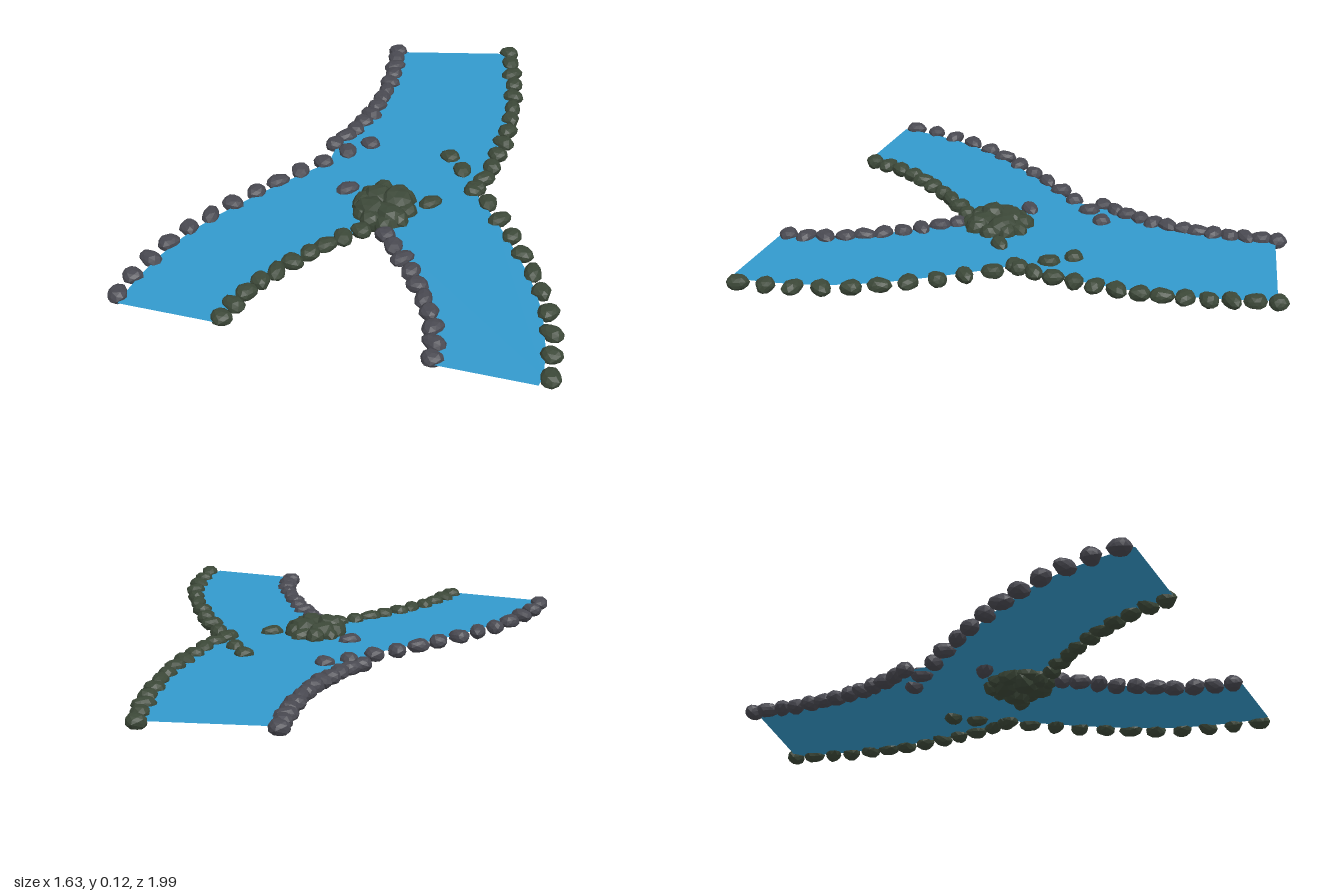
import * as THREE from 'three';

const LEVEL = 0.063;

function material(name, color, side = THREE.FrontSide) {
  const m = new THREE.MeshStandardMaterial({ color, side });
  m.name = name;
  return m;
}

// Faceted boulder of unit radius, with lumps set by a smooth rule
function boulderGeometry(seed) {
  const g = new THREE.IcosahedronGeometry(1, 1);
  const p = g.attributes.position;
  const v = new THREE.Vector3();
  for (let i = 0; i < p.count; i++) {
    v.fromBufferAttribute(p, i);
    const lump = 1 + 0.09 * Math.sin(3.1 * v.x + seed) + 0.08 * Math.sin(3.7 * v.z + 2 * seed)
      + 0.05 * Math.sin(5 * v.y + 3 * v.x + seed);
    v.multiplyScalar(lump);
    v.y = THREE.MathUtils.clamp(v.y, -0.9, 0.9);
    p.setXYZ(i, v.x, v.y, v.z);
  }
  const flat = g.index ? g.toNonIndexed() : g;
  flat.computeVertexNormals();
  return flat;
}

// Smooth bank line through [x, z] pairs
function bankPoints(pairs, count) {
  const curve = new THREE.CatmullRomCurve3(pairs.map(([x, z]) => new THREE.Vector3(x, LEVEL, z)));
  return curve.getSpacedPoints(count - 1);
}

export function createModel() {
  const model = new THREE.Group();
  const water = material('river blue', 0x3399cc, THREE.DoubleSide);
  const grey = material('grey stone', 0x494951);
  const green = material('mossy stone', 0x3c4838);
  const shapes = [0.6, 2.1, 3.9].map(boulderGeometry);

  function addRock(parent, name, mat, pos, size, turn, index) {
    const rock = new THREE.Mesh(shapes[index % shapes.length], mat);
    rock.name = name;
    rock.position.copy(pos);
    rock.scale.set(...size);
    rock.rotation.y = turn;
    parent.add(rock);
  }

  function addBank(name, mat, points) {
    const bank = new THREE.Group();
    bank.name = name;
    points.forEach((p, i) => addRock(bank, name + 'Rock', mat, p, [0.042, 0.029, 0.038], i * 0.35, i));
    model.add(bank);
  }

  // Bank lines: upstream pair, outer branch pair, inner branch pair
  const upperLeft = bankPoints([[-0.24, -0.85], [-0.215, -0.7], [-0.205, -0.55], [-0.22, -0.35],
    [-0.25, -0.24], [-0.3, -0.12]], 13);
  const upperRight = bankPoints([[0.235, -0.96], [0.28, -0.815], [0.32, -0.65], [0.348, -0.43],
    [0.345, -0.2], [0.325, -0.04], [0.305, 0.03]], 13);
  const branch = [[0.31, 0.01], [0.375, 0.09], [0.505, 0.267], [0.622, 0.447], [0.712, 0.635],
    [0.762, 0.835], [0.776, 0.94]];
  const inner = [[0.047, 0.375], [0.168, 0.517], [0.262, 0.655], [0.33, 0.78], [0.367, 0.9], [0.377, 0.955]];
  const mirror = (pairs) => pairs.map(([x, z]) => [-x, z]);
  const outerLeft = bankPoints(mirror(branch), 11);
  const outerRight = bankPoints(branch, 11);
  const innerLeft = bankPoints(mirror(inner), 10);
  const innerRight = bankPoints(inner, 10);

  addBank('upperLeftBank', grey, upperLeft);
  addBank('upperRightBank', green, upperRight);
  addBank('outerLeftBank', grey, outerLeft);
  addBank('outerRightBank', green, outerRight);
  addBank('innerLeftBank', green, innerLeft);
  addBank('innerRightBank', grey, innerRight);

  // Loose rocks where the river divides
  const loose = [[0.165, -0.155], [0.235, -0.08], [0.165, 0.15]];
  addBank('looseLeftRocks', grey, loose.map(([x, z]) => new THREE.Vector3(-x, LEVEL, z)));
  addBank('looseRightRocks', green, loose.map(([x, z]) => new THREE.Vector3(x, LEVEL, z)));

  // Water sheet: one forked outline following the banks
  const outline = [
    [-0.225, -0.845], [0.23, -0.955],
    ...upperRight.slice(1, 12).map((p) => [p.x - 0.01, p.z]),
    ...outerRight.map((p) => [p.x - 0.022, p.z]), [0.745, 0.985],
    [0.385, 0.985], ...[...innerRight].reverse().map((p) => [p.x, p.z]),
    [0, 0.32],
    ...innerLeft.map((p) => [p.x, p.z]), [-0.385, 0.985],
    [-0.755, 0.985], ...[...outerLeft].reverse().map((p) => [p.x + 0.022, p.z]),
    ...[...upperLeft].reverse().slice(0, 12).map((p) => [p.x + 0.01, p.z]),
  ];
  const sheet = new THREE.ShapeGeometry(new THREE.Shape(outline.map(([x, z]) => new THREE.Vector2(x, -z))));
  sheet.rotateX(-Math.PI / 2);
  const river = new THREE.Mesh(sheet, water);
  river.name = 'riverSurface';
  river.position.y = LEVEL;
  model.add(river);

  // Rock island at the fork: two tall boulders ringed by smaller ones
  const island = new THREE.Group();
  island.name = 'rockIsland';
  const big = [[-0.045, 0.26], [0.045, 0.185], [0.03, 0.275], [-0.035, 0.18]];
  big.forEach(([x, z], i) => addRock(island, 'islandBoulder', green,
    new THREE.Vector3(x, LEVEL, z), [0.066, i < 2 ? 0.066 : 0.058, 0.062], i * 1.3, i));
  for (let i = 0; i < 10; i++) {
    const a = (i / 10) * Math.PI * 2;
    addRock(island, 'islandRock', green,
      new THREE.Vector3(0.086 * Math.cos(a), LEVEL, 0.222 + 0.095 * Math.sin(a)),
      [0.046, i % 2 ? 0.046 : 0.038, 0.044], i * 0.9, i);
  }
  model.add(island);

  return model;
}
